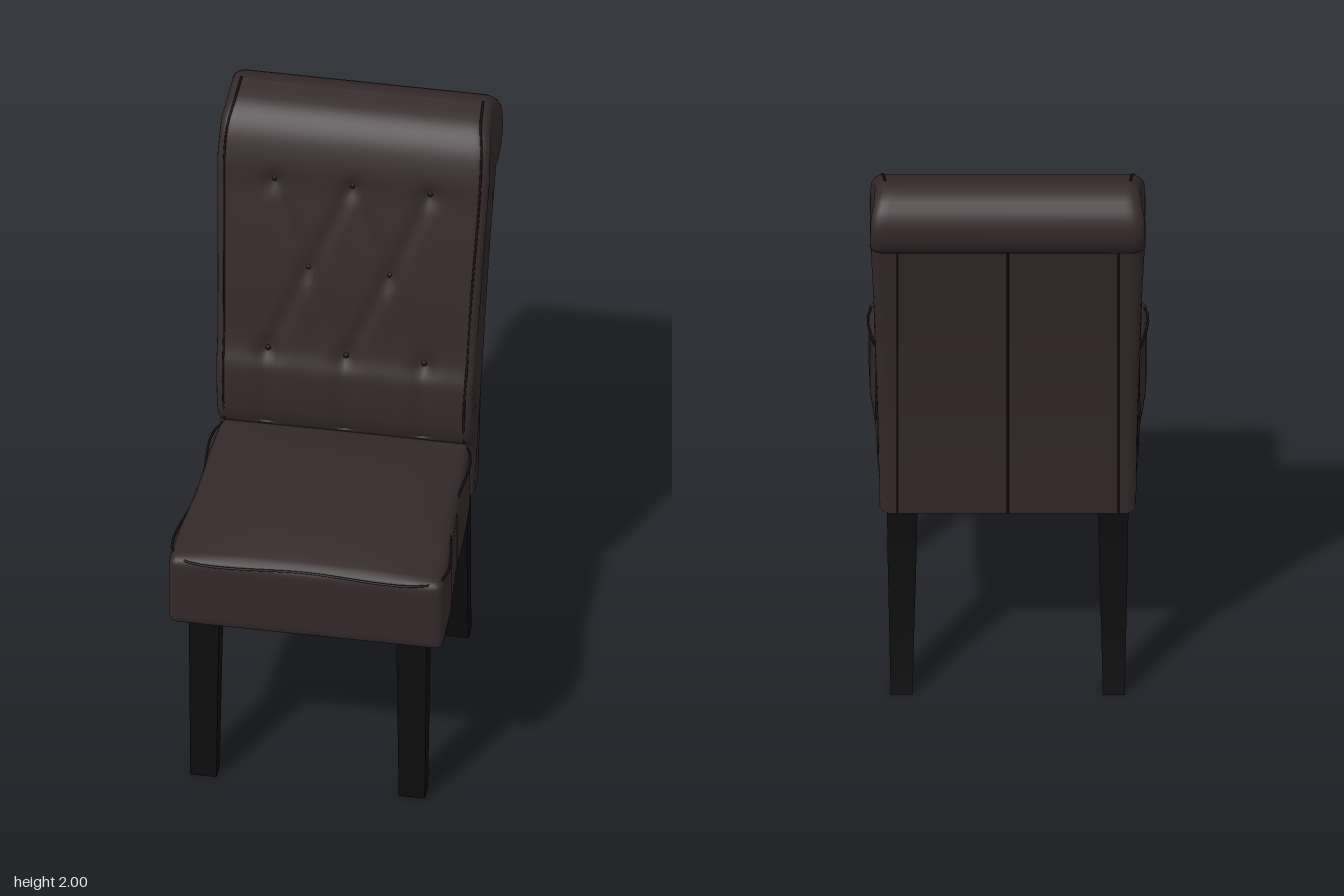
import * as THREE from 'three';
import { toCreasedNormals } from 'three/addons/utils/BufferGeometryUtils.js';

const leather = new THREE.MeshStandardMaterial({ color: 0x34282a });
leather.name = 'dark brown leather';
const seamDark = new THREE.MeshStandardMaterial({ color: 0x171011 });
seamDark.name = 'dark seam';
const blackWood = new THREE.MeshStandardMaterial({ color: 0x0c0c0c });
blackWood.name = 'black wood';
const lining = new THREE.MeshStandardMaterial({ color: 0x352b1c });
lining.name = 'olive lining';

// Backrest contours as [y, z], bottom to top, and half width as [y, x]
const FRONT = [[0.64, -0.19], [0.84, -0.18], [0.9, -0.14], [0.97, -0.122], [1.1, -0.13], [1.2, -0.162],
  [1.4, -0.198], [1.6, -0.24], [1.72, -0.268], [1.82, -0.288], [1.91, -0.325], [1.97, -0.385], [2, -0.475]];
const BACK = [[0.64, -0.3], [0.8, -0.312], [1, -0.33], [1.2, -0.355], [1.4, -0.388], [1.6, -0.428], [1.73, -0.455]];
const WIDTH = [[0.64, 0.405], [1, 0.41], [1.4, 0.42], [1.8, 0.436], [1.92, 0.432], [2, 0.412]];
const BUTTONS = [[-0.25, 1.75], [0, 1.75], [0.25, 1.75], [-0.13, 1.46], [0.13, 1.46],
  [-0.25, 1.17], [0, 1.17], [0.25, 1.17]];
const FOLDS = [[0, 3], [1, 3], [1, 4], [2, 4], [3, 5], [3, 6], [4, 6], [4, 7]];

// Linear lookup in a table of [key, value]
function lookup(table, k) {
  for (let i = 1; i < table.length; i++) {
    const [a, va] = table[i - 1], [b, vb] = table[i];
    if (k <= b) return THREE.MathUtils.lerp(va, vb, THREE.MathUtils.clamp((k - a) / (b - a), 0, 1));
  }
  return table[table.length - 1][1];
}

function moveVertices(geometry, rule) {
  const p = geometry.attributes.position, v = new THREE.Vector3();
  for (let i = 0; i < p.count; i++) {
    rule(v.fromBufferAttribute(p, i));
    p.setXYZ(i, v.x, v.y, v.z);
  }
  return geometry;
}

function add(group, name, geometry, material) {
  const mesh = new THREE.Mesh(geometry, material);
  mesh.name = name;
  group.add(mesh);
  return mesh;
}

function seam(group, name, points, radius = 0.004, closed = false) {
  const curve = new THREE.CatmullRomCurve3(points.map((p) => new THREE.Vector3(...p)), closed);
  add(group, name, new THREE.TubeGeometry(curve, 64, radius, 6, closed), seamDark);
}

// How far the padding is pulled in by the buttons and diagonal folds
function tuft(x, y) {
  const distance = (ax, ay, bx, by) => {
    const dx = bx - ax, dy = by - ay;
    const t = THREE.MathUtils.clamp(((x - ax) * dx + (y - ay) * dy) / (dx * dx + dy * dy), 0, 1);
    return Math.hypot(x - ax - t * dx, y - ay - t * dy);
  };
  let pull = 0, fold = 0;
  for (const [bx, by] of BUTTONS) pull = Math.max(pull, 0.014 * Math.exp(-((x - bx) ** 2 + (y - by) ** 2) / 0.0012));
  for (const [i, j] of FOLDS) fold = Math.max(fold, Math.exp(-((distance(...BUTTONS[i], ...BUTTONS[j]) / 0.025) ** 2)));
  for (const i of [5, 6, 7]) {
    const [bx, by] = BUTTONS[i];
    fold = Math.max(fold, Math.exp(-((distance(bx, by, bx, 0.9) / 0.03) ** 2)));
  }
  return pull + 0.009 * fold;
}

function buildBackrest() {
  const group = new THREE.Group();
  group.name = 'backrest';
  const toV2 = ([y, z]) => new THREE.Vector2(z, y);

  // Side profile with the scrolled top, extruded across the width
  const shape = new THREE.Shape();
  shape.moveTo(-0.3, 0.64);
  shape.lineTo(-0.19, 0.64);
  shape.splineThru(FRONT.slice(1).map(toV2));
  shape.absarc(-0.475, 1.876, 0.124, Math.PI / 2, Math.PI * 1.54, false);
  shape.splineThru(BACK.slice().reverse().map(toV2));
  const geometry = new THREE.ExtrudeGeometry(shape, {
    depth: 0.75, steps: 48, curveSegments: 7,
    bevelThickness: 0.035, bevelSize: 0.025, bevelOffset: -0.025, bevelSegments: 4,
  });
  geometry.translate(0, 0, -0.375).rotateY(-Math.PI / 2);
  moveVertices(geometry, (v) => {
    v.x *= lookup(WIDTH, v.y) / 0.41;
    const middle = -0.23 - 0.16 * (v.y - 0.9);
    if (v.z > middle && v.y > 0.9) {
      const fade = THREE.MathUtils.smoothstep(0.39 - Math.abs(v.x), 0, 0.05)
        * (1 - THREE.MathUtils.smoothstep(v.y, 1.8, 1.93));
      v.z -= tuft(v.x, v.y) * fade;
    }
  });
  add(group, 'backrestPadding', toCreasedNormals(geometry, 0.6), leather);

  // Buttons sunk into the padding
  for (const [x, y] of BUTTONS) {
    const button = add(group, 'button', new THREE.SphereGeometry(0.01, 12, 8), seamDark);
    button.position.set(x, y, lookup(FRONT, y) - 0.023);
    button.scale.z = 0.6;
  }

  // Seams down the rear panel and piping along the front edges
  for (const x of [-0.35, 0, 0.35]) seam(group, 'rearSeam', BACK.map(([y, z]) => [x, y, z + 0.001]));
  for (const side of [-1, 1]) {
    seam(group, 'edgePiping', FRONT.slice(2).map(([y, z]) => [side * (lookup(WIDTH, y) - 0.025), y, z - 0.003]));
  }
  return group;
}

function buildSeat() {
  const group = new THREE.Group();
  group.name = 'seat';
  const half = new THREE.Vector3(0.44, 0.13, 0.385), r = 0.028;
  const inner = half.clone().subScalar(r), low = inner.clone().negate();
  const plan = [[-0.18, 0.4], [0, 0.412], [0.2, 0.417], [0.4, 0.436], [0.59, 0.441]];
  const core = new THREE.Vector3();

  // Rounded box, narrower at the rear, with a domed top
  const geometry = new THREE.BoxGeometry(0.88, 0.26, 0.77, 44, 14, 40);
  moveVertices(geometry, (v) => {
    core.copy(v).clamp(low, inner);
    v.sub(core).setLength(r).add(core);
    const rise = THREE.MathUtils.smoothstep(v.y, 0.08, 0.13);
    const dome = (1 - Math.abs(v.x / 0.44) ** 2.5) * (1 - Math.abs(v.z / 0.385) ** 2.5);
    v.y += 0.75 + 0.055 * rise * dome;
    v.z += 0.205;
    v.x *= lookup(plan, v.z) / 0.44;
  });
  add(group, 'seatCushion', toCreasedNormals(geometry, 0.6), leather);

  // Seam around the top panel and stitched joins on the sides
  seam(group, 'topSeam', [[-0.42, 0.871, 0.56], [0, 0.873, 0.582], [0.42, 0.871, 0.56], [0.402, 0.871, 0.2],
    [0.385, 0.871, -0.16], [0, 0.871, -0.17], [-0.385, 0.871, -0.16], [-0.402, 0.871, 0.2]], 0.004, true);
  for (const side of [-1, 1]) seam(group, 'sideSeam', [[side * 0.415, 0.65, 0.18], [side * 0.415, 0.86, 0.18]], 0.003);

  // Cloth underneath
  const under = add(group, 'underLining', new THREE.BoxGeometry(0.74, 0.008, 0.66), lining);
  under.position.set(0, 0.617, 0.205);
  return group;
}

// Square leg; each row is [y, front z, rear z, inner x, outer x]
function buildLeg(name, side, rows) {
  const n = rows.length - 1;
  const curve = (c) => rows.map((row) => [row[0], row[c]]);
  const columns = [1, 2, 3, 4].map(curve);
  const geometry = new THREE.BoxGeometry(1, 1, 1, 1, n * 3, 1);
  moveVertices(geometry, (v) => {
    const y = THREE.MathUtils.lerp(rows[0][0], rows[n][0], v.y + 0.5);
    const [front, rear, near, far] = columns.map((table) => lookup(table, y));
    const x = (near + far) / 2 * side + v.x * (far - near);
    v.set(x, y, v.z > 0 ? front : rear);
  });
  const mesh = new THREE.Mesh(toCreasedNormals(geometry, 0.5), blackWood);
  mesh.name = name;
  return mesh;
}

export function createModel() {
  const model = new THREE.Group();
  model.name = 'diningChair';
  model.add(buildSeat(), buildBackrest());
  const frontRows = [[0, 0.545, 0.485, 0.292, 0.376], [0.64, 0.543, 0.458, 0.284, 0.381]];
  const rearRows = [[0, -0.305, -0.362, 0.3, 0.37], [0.1, -0.284, -0.342, 0.298, 0.372],
    [0.2, -0.264, -0.325, 0.296, 0.374], [0.3, -0.246, -0.312, 0.293, 0.376],
    [0.4, -0.232, -0.302, 0.29, 0.378], [0.5, -0.219, -0.293, 0.288, 0.38], [0.65, -0.205, -0.282, 0.285, 0.381]];
  for (const [side, label] of [[1, 'Left'], [-1, 'Right']]) {
    model.add(buildLeg(`front${label}Leg`, side, frontRows));
    model.add(buildLeg(`rear${label}Leg`, side, rearRows));
  }
  return model;
}
